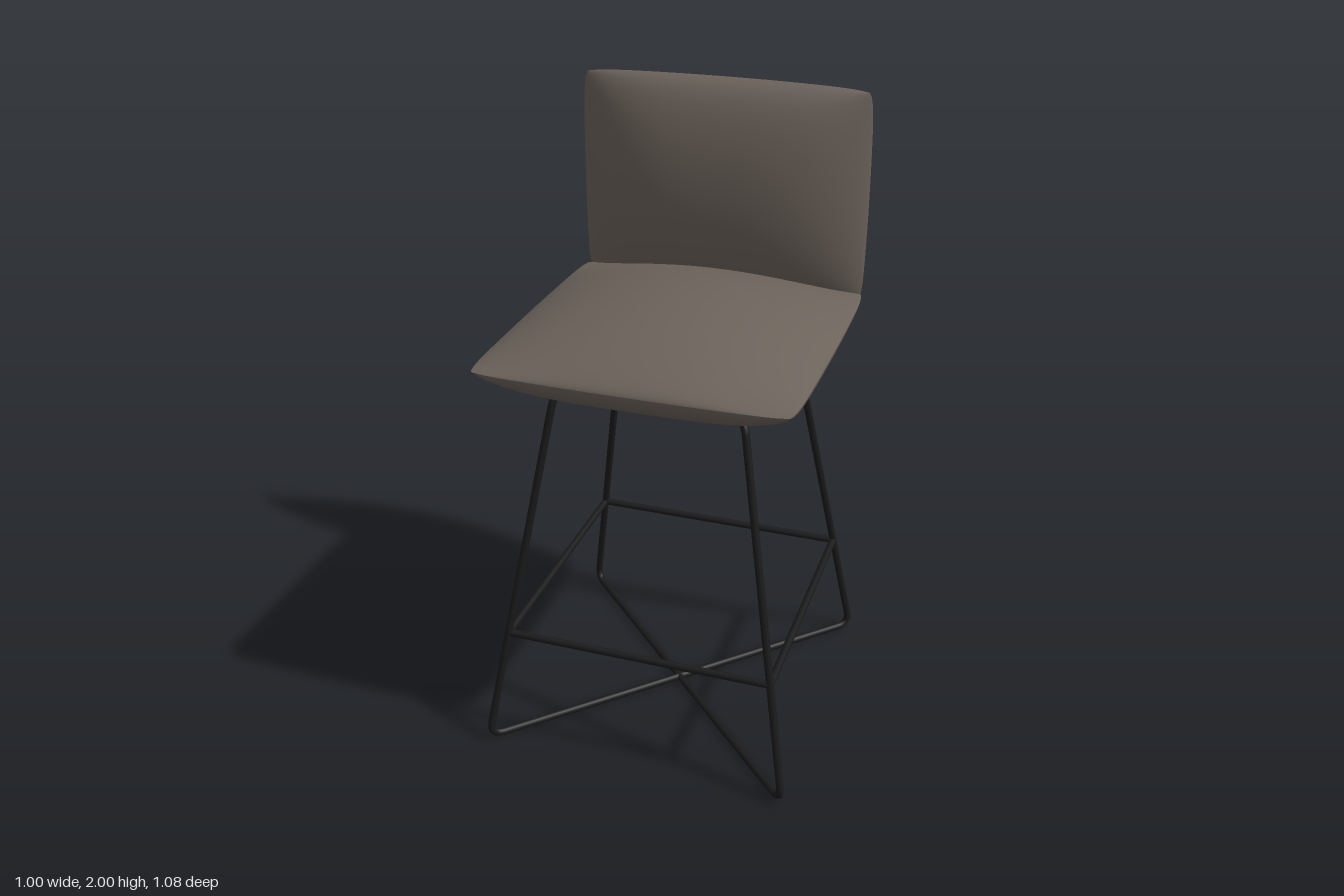
import * as THREE from 'three';

const fabric = new THREE.MeshStandardMaterial({ color: 0x6b625a });
fabric.name = 'taupe fabric';
const steel = new THREE.MeshStandardMaterial({ color: 0x1a1a1a });
steel.name = 'black steel';

const TUBE = 0.012;
const CENTRE_Z = 0.043; // middle of the leg frame

function addMesh(parent, name, geometry, material) {
  const mesh = new THREE.Mesh(geometry, material);
  mesh.name = name;
  parent.add(mesh);
  return mesh;
}

// One bulging face of a cushion; the outline bows slightly and rounds at the corners
function cushionFace(rx, ry, { h, max = h, pu, qu, pv, qv }) {
  const geo = new THREE.PlaneGeometry(2, 2, 48, 48);
  const pos = geo.attributes.position;
  for (let i = 0; i < pos.count; i++) {
    // Sample more densely towards the seam
    const u = Math.sin(pos.getX(i) * Math.PI / 2);
    const v = Math.sin(pos.getY(i) * Math.PI / 2);
    const corner = 1 - 0.025 * Math.pow(u * v, 10);
    const bulge = Math.pow(Math.max(0, 1 - Math.abs(u) ** pu), qu)
      * Math.pow(Math.max(0, 1 - Math.abs(v) ** pv), qv);
    pos.setXYZ(i,
      rx * u * (1 - 0.012 * v * v) * corner,
      ry * v * (1 - 0.02 * u * u) * corner,
      Math.min(max, h * bulge));
  }
  geo.computeVertexNormals();
  return geo;
}

// Two faces sewn together at a sharp seam
function cushion(name, rx, ry, front, back) {
  const group = new THREE.Group();
  group.name = name;
  addMesh(group, name + 'Front', cushionFace(rx, ry, front), fabric);
  addMesh(group, name + 'Back', cushionFace(rx, ry, back).rotateY(Math.PI), fabric);
  return group;
}

// Closed path of straight runs joined by rounded corners
function roundedLoop(points, radius) {
  const path = new THREE.CurvePath();
  const n = points.length;
  const toward = (a, b, d) => a.clone().add(b.clone().sub(a).setLength(d));
  points.forEach((p, i) => {
    const prev = points[(i + n - 1) % n];
    const next = points[(i + 1) % n];
    const after = points[(i + 2) % n];
    const r = Math.min(radius, p.distanceTo(prev) * 0.45, p.distanceTo(next) * 0.45);
    const rNext = Math.min(radius, next.distanceTo(p) * 0.45, next.distanceTo(after) * 0.45);
    const end = toward(p, next, r);
    path.add(new THREE.QuadraticBezierCurve3(toward(p, prev, r), p, end));
    path.add(new THREE.LineCurve3(end, toward(next, p, rNext)));
  });
  return path;
}

export function createModel() {
  const model = new THREE.Group();
  model.name = 'barStool';

  // Seat cushion, laid flat
  const seat = cushion('seat', 0.488, 0.482,
    { h: 0.12, pu: 2, qu: 0.85, pv: 2, qv: 0.65 },
    { h: 0.122, max: 0.112, pu: 4, qu: 0.55, pv: 4, qv: 0.55 });
  seat.rotation.x = -Math.PI / 2;
  seat.position.set(0, 1.335, 0.058);
  model.add(seat);

  // Backrest cushion, standing at the rear
  const backrest = cushion('backrest', 0.477, 0.355,
    { h: 0.128, pu: 3, qu: 0.8, pv: 2, qv: 0.5 },
    { h: 0.126, pu: 2, qu: 0.9, pv: 2, qv: 0.5 });
  backrest.position.set(0, 1.645, -0.414);
  model.add(backrest);

  // Dark panel under the seat
  const panel = addMesh(model, 'undersidePanel', new THREE.BoxGeometry(0.66, 0.009, 0.66), steel);
  panel.position.set(0, 1.2245, CENTRE_Z);

  // Leg frame: one bent tube with crossed floor runs and two bars under the seat
  const corner = (sx, sz, r, y) => new THREE.Vector3(sx * r, y, CENTRE_Z + sz * r);
  const foot = (sx, sz) => corner(sx, sz, 0.495, 0.016);
  const shoulder = (sx, sz) => corner(sx, sz, 0.294, 1.213);
  const bend = (sx, sz) => corner(sx, sz, 0.222, 1.213);
  const points = [];
  for (const [sx, sz] of [[-1, 1], [-1, -1]]) {
    points.push(
      bend(sx, sz), shoulder(sx, sz), foot(sx, sz),
      foot(-sx, -sz), shoulder(-sx, -sz), bend(-sx, -sz));
  }
  // Second half runs the other way so the bars join like corners
  const loop = roundedLoop(points, 0.055);
  addMesh(model, 'legFrame', new THREE.TubeGeometry(loop, 640, TUBE, 10, true), steel);

  // Footrest ring
  const ring = [[1, 1], [1, -1], [-1, -1], [-1, 1]].map(([sx, sz]) => corner(sx, sz, 0.43, 0.402));
  ring.forEach((p, i) => {
    const rail = new THREE.LineCurve3(p, ring[(i + 1) % 4]);
    addMesh(model, 'footrestRail' + (i + 1), new THREE.TubeGeometry(rail, 1, TUBE, 10), steel);
  });

  return model;
}
